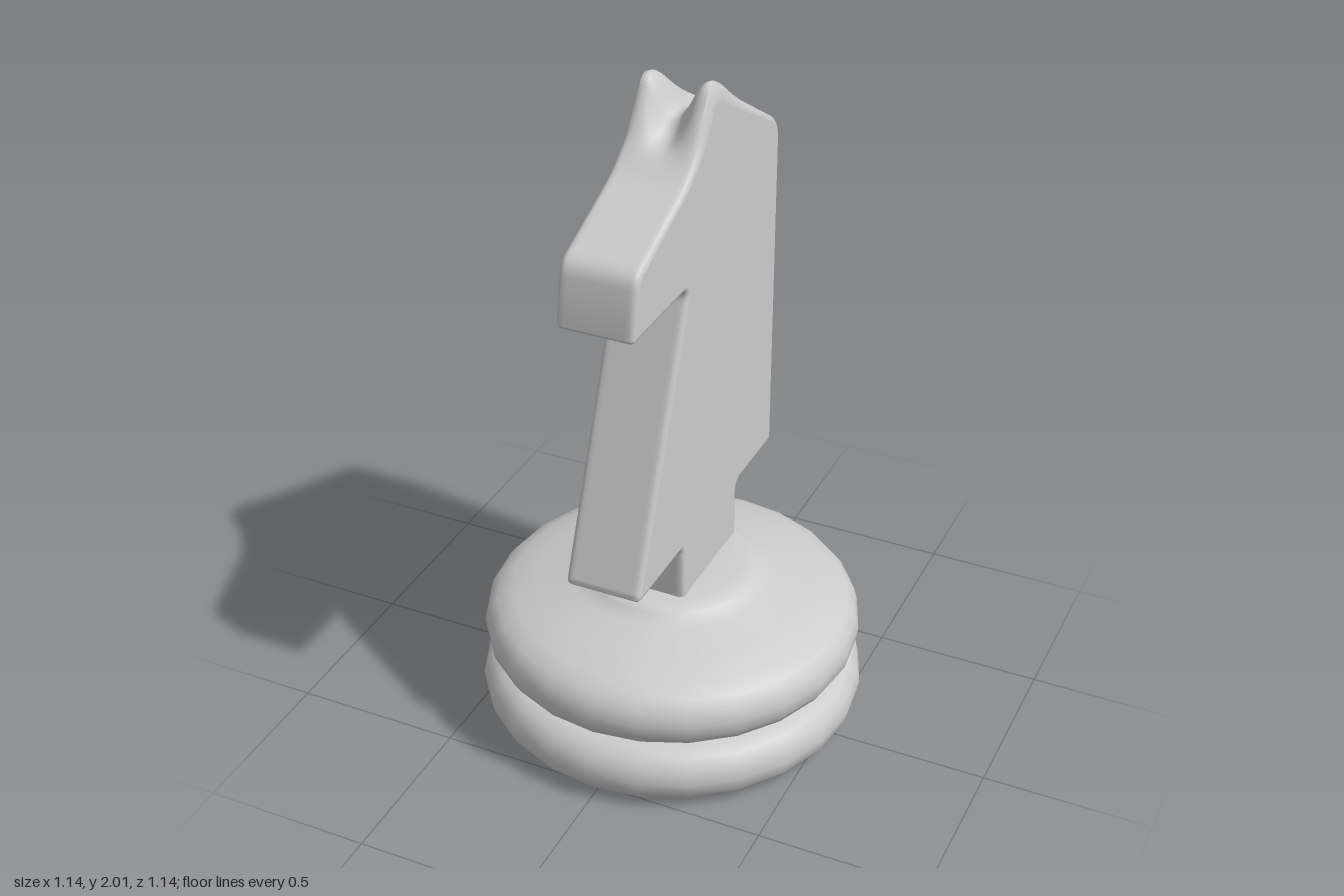
import * as THREE from 'three';
import { toCreasedNormals } from 'three/addons/utils/BufferGeometryUtils.js';

const HALF = 0.113, BEVEL = 0.016;

// Outline with rounded corners, in (z, y); each corner is [z, y, rounding]
function roundedOutline(corners) {
  const v = corners.map(([z, y]) => new THREE.Vector2(z, y));
  const n = v.length, pts = [];
  const toward = (a, b, d) => a.clone().add(b.clone().sub(a).setLength(Math.min(d, a.distanceTo(b) * 0.45)));
  v.forEach((p, i) => {
    const r = corners[i][2];
    const a = toward(p, v[(i + n - 1) % n], r), b = toward(p, v[(i + 1) % n], r);
    pts.push(...new THREE.QuadraticBezierCurve(a, p, b).getPoints(6));
    // extra points along the crest, where the ears are shaped
    const next = toward(v[(i + 1) % n], p, corners[(i + 1) % n][2]);
    if (p.y > 1.75 && v[(i + 1) % n].y > 1.7)
      for (let k = 1; k < 6; k++) pts.push(b.clone().lerp(next, k / 6));
  });
  return pts;
}

// Drop of the crest at (x, z): a valley between the ears and rounded outer rims
function earDrop(x, z) {
  const fade = z > -0.04
    ? 1 - THREE.MathUtils.smoothstep(z, -0.02, 0.11)
    : THREE.MathUtils.clamp((z + 0.32) / 0.28, 0, 1);
  const a = Math.abs(x);
  const valley = 0.105 * (1 - THREE.MathUtils.smoothstep(a, 0.005, 0.085));
  const rim = 0.04 * Math.max(0, (a - 0.09) / 0.023) ** 2;
  return fade * (valley + rim);
}

function horseGeometry() {
  const outline = roundedOutline([
    [0.17, 0.45, 0.005], [0.17, 0.66, 0.03], [0.468, 0.66, 0.03],
    [0.135, 1.488, 0.045], [0.48, 1.488, 0.02], [0.447, 1.672, 0.04],
    [0.10, 1.81, 0.09], [-0.02, 2.012, 0.035], [-0.075, 2.0, 0.035],
    [-0.2, 1.9, 0.06], [-0.478, 1.725, 0.06], [-0.472, 0.66, 0.025],
    [-0.21, 0.66, 0.03], [-0.21, 0.45, 0.005],
  ].reverse());
  const depth = 2 * (HALF - BEVEL);
  let g = new THREE.ExtrudeGeometry(new THREE.Shape(outline), {
    depth, steps: 18, bevelEnabled: true, bevelSize: BEVEL,
    bevelThickness: BEVEL, bevelOffset: -BEVEL, bevelSegments: 3,
  });
  g.translate(0, 0, -depth / 2).rotateY(-Math.PI / 2);
  const p = g.attributes.position;
  for (let i = 0; i < p.count; i++)
    if (p.getY(i) > 1.7) p.setY(i, p.getY(i) - earDrop(p.getX(i), p.getZ(i)));
  g = toCreasedNormals(g, 0.65);
  // keep the broad side faces flat
  const q = g.attributes.position, nrm = g.attributes.normal;
  for (let i = 0; i < q.count; i += 3) {
    const s = Math.sign(q.getX(i));
    if ([0, 1, 2].every(k => q.getX(i + k) * s > HALF - 1e-4))
      for (let k = 0; k < 3; k++) nrm.setXYZ(i + k, s, 0, 0);
  }
  return g;
}

export function createModel() {
  const group = new THREE.Group();
  const material = new THREE.MeshStandardMaterial({ color: 0xcccccc });
  const add = (name, geometry) => {
    const mesh = new THREE.Mesh(geometry, material);
    mesh.name = name;
    group.add(mesh);
  };
  const turned = profile => toCreasedNormals(
    new THREE.LatheGeometry(profile.map(([r, y]) => new THREE.Vector2(r, y)), 24), 0.75);

  // Foot ring
  add('lowerBase', turned([
    [0, 0], [0.48, 0], [0.51, 0.007], [0.54, 0.025], [0.563, 0.058], [0.572, 0.098],
    [0.563, 0.138], [0.54, 0.17], [0.51, 0.187], [0.47, 0.194], [0, 0.194],
  ]));
  // Domed ring with a small raised collar
  add('upperBase', turned([
    [0, 0.194], [0.46, 0.196], [0.5, 0.205], [0.535, 0.228], [0.555, 0.26], [0.56, 0.3],
    [0.55, 0.338], [0.525, 0.37], [0.48, 0.393], [0.4, 0.42], [0.3, 0.448], [0.272, 0.458],
    [0.257, 0.47], [0.243, 0.481], [0.21, 0.487], [0.15, 0.49], [0, 0.49],
  ]));
  // Horse head, neck and stem
  add('horseHead', horseGeometry());
  return group;
}
